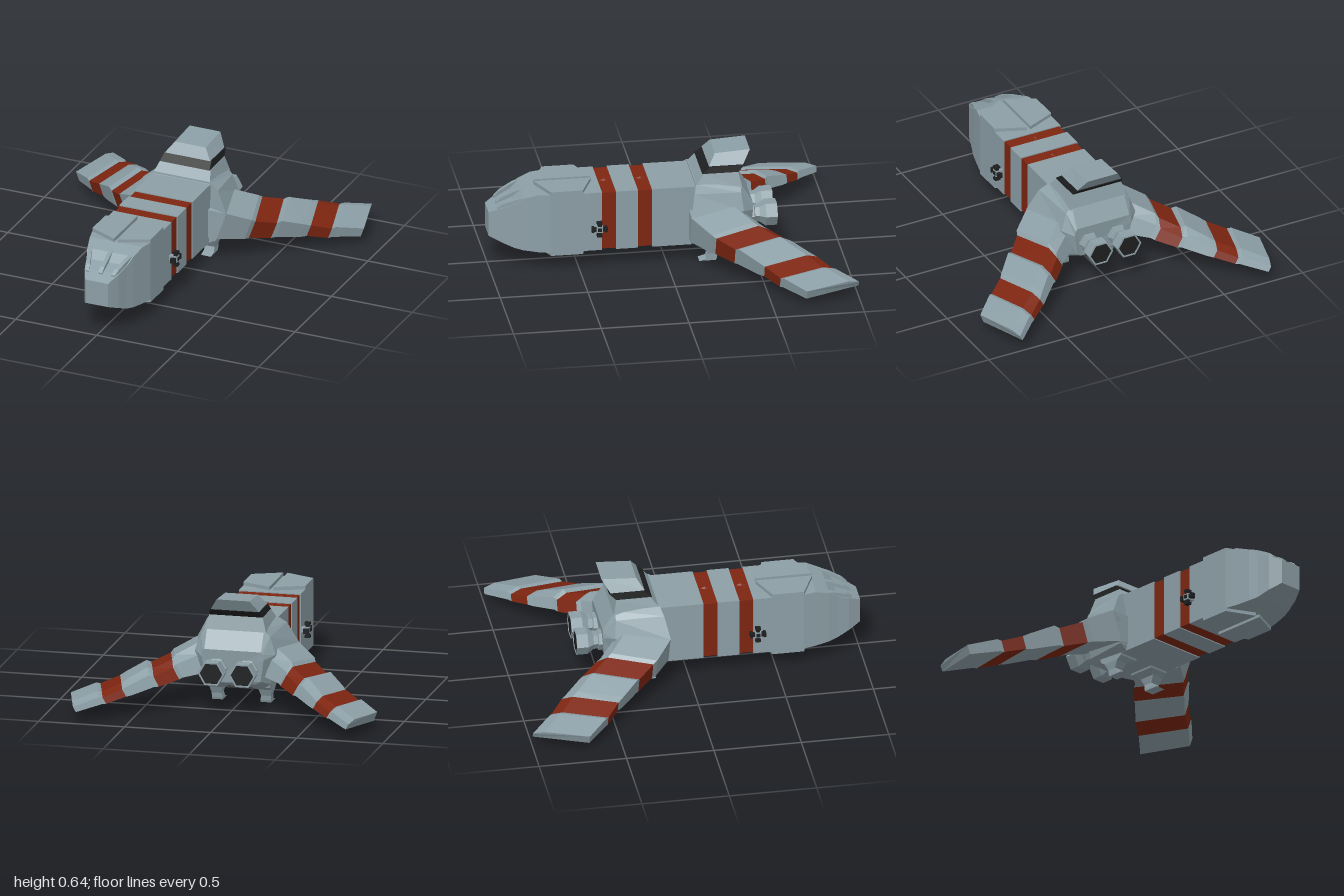
import * as THREE from 'three';

const mat = (name, color) => {
  const m = new THREE.MeshStandardMaterial({ color, flatShading: true });
  m.name = name;
  return m;
};

// Closed faceted solid through a list of rings (each ring: [x, y, z] points).
function loft(rings) {
  const tris = [];
  const n = rings[0].length;
  for (let r = 0; r + 1 < rings.length; r++) {
    const a = rings[r], b = rings[r + 1];
    for (let i = 0; i < n; i++) {
      const j = (i + 1) % n;
      tris.push([a[i], b[i], a[j]], [a[j], b[i], b[j]]);
    }
  }
  const first = rings[0], last = rings[rings.length - 1];
  for (let i = 1; i + 1 < n; i++) {
    tris.push([first[0], first[i], first[i + 1]], [last[0], last[i + 1], last[i]]);
  }
  // Turn faces outward whichever way the rings run
  const o = new THREE.Vector3(...first[0]);
  let volume = 0;
  for (const t of tris) {
    const [a, b, c] = t.map((p) => new THREE.Vector3(...p).sub(o));
    volume += a.dot(b.cross(c));
  }
  if (volume < 0) tris.forEach((t) => t.reverse());
  const g = new THREE.BufferGeometry();
  g.setAttribute('position', new THREE.Float32BufferAttribute(tris.flat(2), 3));
  g.computeVertexNormals();
  return g;
}

const rectZ = ([z, w, y0, y1]) => [[w, y0, z], [w, y1, z], [-w, y1, z], [-w, y0, z]];

export function createModel() {
  const model = new THREE.Group();
  model.name = 'spacecraft';
  const grey = mat('hullGrey', 0x8c9fa6);
  const red = mat('stripeRed', 0x7d2510);
  const black = mat('darkTrim', 0x1e1f20);

  const add = (name, geo, material, parent = model) => {
    const m = new THREE.Mesh(geo, material);
    m.name = name;
    parent.add(m);
    return m;
  };
  const box = (name, w, h, d, x, y, z, material) =>
    add(name, new THREE.BoxGeometry(w, h, d), material).position.set(x, y, z);

  // Nose and forward hull: z, half width, bottom, top
  add('noseHull', loft([
    [1.0, 0.07, 0.19, 0.335], [0.93, 0.105, 0.16, 0.37], [0.86, 0.125, 0.13, 0.397],
    [0.81, 0.143, 0.12, 0.437], [0.73, 0.163, 0.112, 0.465], [0.66, 0.18, 0.11, 0.465],
    [0.37, 0.18, 0.11, 0.465],
  ].map(rectZ)), grey);

  // Windscreen centre post and side pillars
  for (const s of [-1, 0, 1]) {
    const ring = (z, y, x, w) =>
      [[x - w, y - 0.05, z], [x + w, y - 0.05, z], [x + w, y, z], [x - w, y, z]];
    add('windscreenPost', loft([
      ring(0.95, 0.37, s * 0.078, 0.012), ring(0.92, 0.395, s * 0.09, 0.012),
      ring(0.85, 0.427, s * 0.112, 0.012), ring(0.79, 0.445, s * 0.13, 0.012),
    ]), grey);
  }

  // Mid hull bands, stripes slightly recessed
  const bands = [[0.37, 0.29, red], [0.29, 0.165, grey], [0.165, 0.085, red], [0.085, -0.2, grey]];
  for (const [z0, z1, m] of bands) {
    const d = m === red ? 0.006 : 0;
    add(m === red ? 'hullStripe' : 'hullBand',
      loft([z0, z1].map((z) => rectZ([z, 0.18 - d, 0.11 + d, 0.465 - d]))), m);
  }
  // Small diamond ridges on the stripes
  for (const z of [0.33, 0.125]) {
    const ridge = add('stripeRidge', new THREE.ConeGeometry(0.03, 0.012, 4), red);
    ridge.position.set(0, 0.462, z);
    ridge.scale.set(0.6, 1, 1.3);
  }

  // Raised panels above and below the forward hull
  const panel = [[0.012, 0.41], [0.18, 0.48], [0.18, 0.66], [0.012, 0.735]];
  for (const s of [-1, 1]) {
    for (const [inner, outer] of [[0.455, 0.485], [0.12, 0.092]]) {
      add('armourPanel', loft([inner, outer].map((y) => panel.map(([x, z]) => [s * x, y, z]))), grey);
    }
  }

  // Rear hull with shoulders
  const mirrorRing = (half) => [...half, ...half.map(([x, y, z]) => [-x, y, z]).reverse()];
  add('rearHull', loft([
    [[0.18, 0.11, -0.14], [0.23, 0.14, -0.13], [0.295, 0.32, -0.122], [0.23, 0.44, -0.15], [0.18, 0.475, -0.165]],
    [[0.16, 0.11, -0.38], [0.2, 0.14, -0.4], [0.235, 0.32, -0.43], [0.2, 0.42, -0.42], [0.165, 0.46, -0.42]],
    [[0.13, 0.15, -0.47], [0.16, 0.17, -0.48], [0.18, 0.3, -0.49], [0.175, 0.33, -0.49], [0.165, 0.345, -0.49]],
  ].map(mirrorRing)), grey);

  // Raised dorsal fin
  const level = (w, zf, yf, zb, yb) => [[w, yf, zf], [w, yb, zb], [-w, yb, zb], [-w, yf, zf]];
  add('finBase', loft([
    level(0.18, -0.155, 0.455, -0.43, 0.44), level(0.155, -0.215, 0.527, -0.41, 0.527),
  ]), grey);
  add('finBand', loft([
    level(0.153, -0.205, 0.527, -0.41, 0.527), level(0.145, -0.255, 0.566, -0.45, 0.566),
  ]), black);
  add('finTop', loft([
    level(0.14, -0.245, 0.566, -0.44, 0.566), level(0.095, -0.285, 0.625, -0.485, 0.637),
  ]), grey);

  // Swept wings. Stations: leading x, z, top y, thickness, rear lift
  const stations = [
    [0.295, -0.125, 0.32, 0.18, 0.04], [0.41, -0.22, 0.262, 0.135, 0.04], [0.42, -0.245, 0.245, 0.12, 0.038],
    [0.51, -0.34, 0.21, 0.105, 0.036], [0.535, -0.355, 0.222, 0.115, 0.034], [0.63, -0.455, 0.175, 0.09, 0.03],
    [0.655, -0.485, 0.16, 0.075, 0.028], [0.75, -0.56, 0.125, 0.065, 0.025], [0.77, -0.575, 0.133, 0.07, 0.023],
    [0.89, -0.69, 0.097, 0.055, 0.02],
  ];
  const spans = [[0, 2, grey], [2, 3, red], [3, 6, grey], [6, 7, red], [7, 9, grey]];
  for (const s of [-1, 1]) {
    const wing = new THREE.Group();
    wing.name = s > 0 ? 'leftWing' : 'rightWing';
    model.add(wing);
    const ring = ([x, z, y, t, lift]) => [
      [x, y, z],
      [x - 0.07, y + lift * 0.8, z - 0.25],
      [x - 0.09, y + lift - t * 0.35, z - 0.31],
      [x - 0.09 - 0.3 * t, y + lift - t * 0.9, z - 0.31],
      [x - 0.35 * t, y - 0.95 * t, z],
    ].map(([px, py, pz]) => [s * px, py, pz]);
    for (const [a, b, m] of spans) {
      add(m === red ? 'wingStripe' : 'wingPanel', loft(stations.slice(a, b + 1).map(ring)), m, wing);
    }
    // Wing root fairing into the rear hull
    const root = ring(stations[0]);
    add('wingRoot', loft([root.map(([x, y, z]) => [x - s * 0.12, y, z]), root]), grey, wing);

    // Engine nozzle, lathed with six sides and a dark recess
    const profile = [[0, -0.02], [0.06, -0.02], [0.06, 0.03], [0.05, 0.035], [0.052, 0.06],
      [0.076, 0.095], [0.076, 0.16], [0.066, 0.16], [0.06, 0.125]]
      .map(([r, y]) => new THREE.Vector2(r, y));
    const engine = new THREE.Group();
    engine.name = 'engine';
    engine.position.set(s * 0.09, 0.24, -0.475);
    engine.rotation.x = -Math.PI / 2;
    model.add(engine);
    const spin = Math.PI / 6;
    add('nozzle', new THREE.LatheGeometry(profile, 6).rotateY(spin), grey, engine);
    add('nozzleCore', new THREE.CylinderGeometry(0.066, 0.06, 0.01, 6).rotateY(spin), black, engine)
      .position.y = 0.152;

    // Side thruster cluster: grey hub with a black cross of jets
    box('thrusterStrut', 0.05, 0.03, 0.03, s * 0.195, 0.255, 0.39, grey);
    box('thrusterHub', 0.03, 0.036, 0.036, s * 0.213, 0.255, 0.39, grey);
    for (const [dy, dz] of [[1, 0], [-1, 0], [0, 1], [0, -1]]) {
      box('thrusterJet', 0.02, 0.022, 0.022, s * 0.215, 0.255 + dy * 0.022, 0.39 + dz * 0.022, black);
      box('thrusterTip', 0.03, dy ? 0.014 : 0.03, dz ? 0.014 : 0.03,
        s * 0.215, 0.255 + dy * 0.038, 0.39 + dz * 0.038, black);
    }
    box('thrusterCap', 0.01, 0.02, 0.02, s * 0.228, 0.255, 0.39, black);

    // Landing leg: y, inner x, outer x, front z, back z
    add('landingLeg', loft([
      [0.14, 0.05, 0.18, -0.17, -0.35], [0.1, 0.06, 0.18, -0.18, -0.34], [0.08, 0.105, 0.18, -0.21, -0.31],
      [0.04, 0.115, 0.172, -0.235, -0.29], [0.012, 0.11, 0.172, -0.225, -0.285], [0, 0.11, 0.172, -0.185, -0.28],
    ].map(([y, x0, x1, z0, z1]) =>
      [[s * x0, y, z0], [s * x1, y, z0], [s * x1, y, z1], [s * x0, y, z1]])), grey);
  }
  return model;
}
